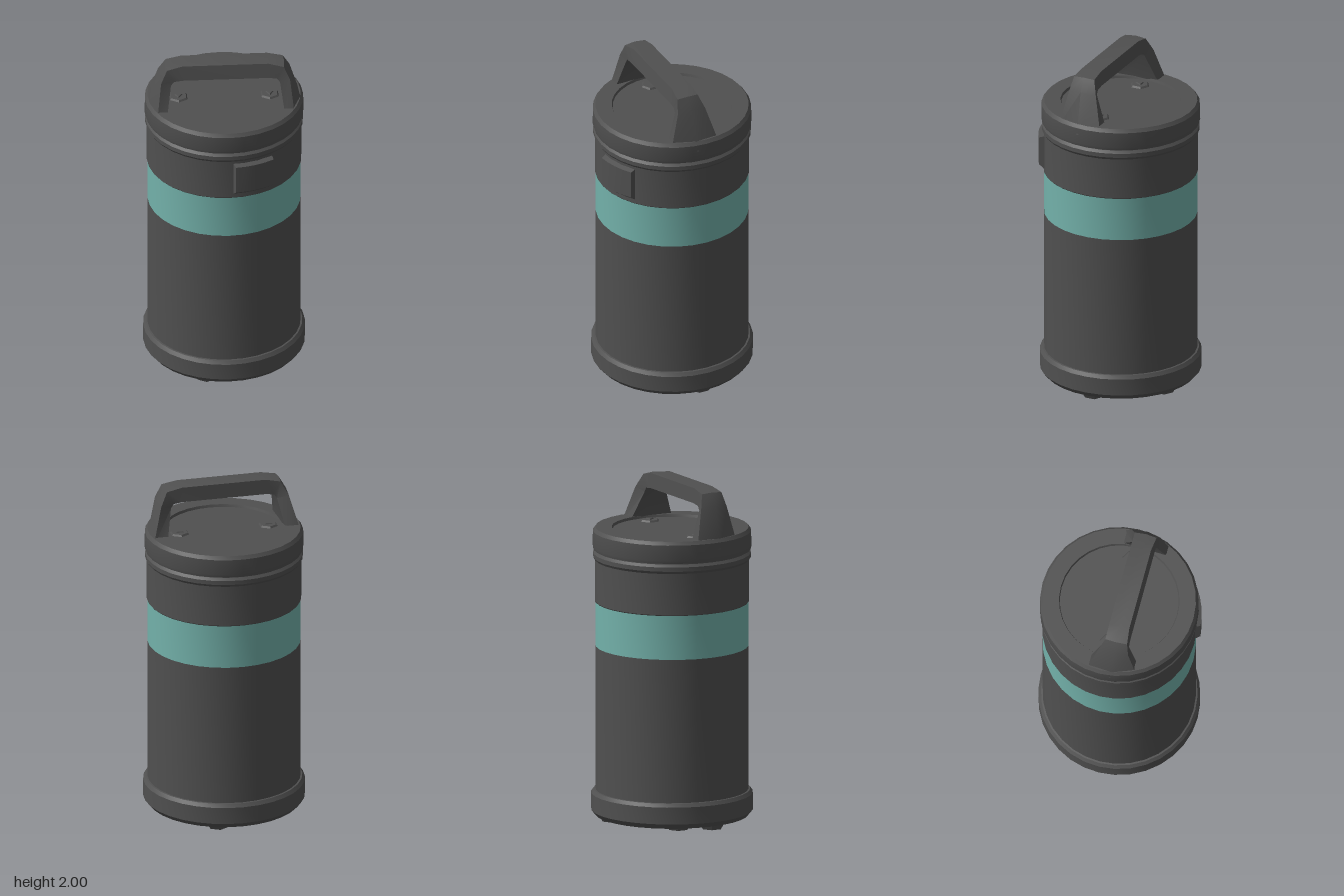
import * as THREE from 'three';
import { toCreasedNormals } from 'three/addons/utils/BufferGeometryUtils.js';

const charcoal = new THREE.MeshStandardMaterial({ name: 'charcoal', color: 0x505050 });
const teal = new THREE.MeshStandardMaterial({ name: 'teal', color: 0x73b1aa });

function part(parent, name, geometry, material = charcoal, crease = 0.5) {
  const mesh = new THREE.Mesh(toCreasedNormals(geometry, crease), material);
  mesh.name = name;
  parent.add(mesh);
  return mesh;
}

// Round part from [radius, height] pairs, bottom to top
function turned(profile) {
  return new THREE.LatheGeometry(profile.map(([r, y]) => new THREE.Vector2(r, y)), 32);
}

// Carry handle: five-sided rings swept from the left leg over to the right leg
function handleGeometry() {
  // each ring: outer front, outer middle, outer back, inner back, inner front
  const half = [
    [[0.40, 1.68, 0.205], [0.457, 1.67, 0.06], [0.443, 1.68, -0.085], [0.36, 1.68, -0.085], [0.345, 1.68, 0.205]],
    [[0.375, 1.90, 0.15], [0.388, 1.91, 0.07], [0.382, 1.90, -0.025], [0.317, 1.88, 0], [0.317, 1.88, 0.14]],
    [[0.34, 1.98, 0.135], [0.345, 1.985, 0.07], [0.34, 1.98, 0.005], [0.30, 1.905, 0], [0.30, 1.905, 0.14]],
    [[0.25, 2.0, 0.125], [0.25, 2.0, 0.07], [0.25, 2.0, 0.005], [0.25, 1.912, 0], [0.25, 1.912, 0.14]],
  ];
  const mirrored = half.map((ring) => ring.map(([x, y, z]) => [-x, y, z])).reverse();
  const rings = [...half, ...mirrored];
  const index = [];
  for (let i = 0; i < rings.length - 1; i++) {
    for (let j = 0; j < 5; j++) {
      const a = i * 5 + j, b = i * 5 + ((j + 1) % 5);
      index.push(a, b, b + 5, a, b + 5, a + 5);
    }
  }
  const g = new THREE.BufferGeometry();
  g.setAttribute('position', new THREE.Float32BufferAttribute(rings.flat(2), 3));
  g.setIndex(index);
  return g;
}

// Latch: a box with a tapered face, bent around the body
function latchGeometry() {
  const g = new THREE.BoxGeometry(1, 1, 1, 4, 1, 1);
  const p = g.attributes.position;
  for (let i = 0; i < p.count; i++) {
    const outer = p.getZ(i) > 0;
    const angle = 0.335 + p.getX(i) * (outer ? 0.5 : 0.58);
    const radius = outer ? 0.478 : 0.43;
    const top = p.getY(i) > 0;
    const y = top ? (outer ? 1.515 : 1.53) : (outer ? 1.345 : 1.305);
    p.setXYZ(i, Math.sin(angle) * radius, y, Math.cos(angle) * radius);
  }
  return g;
}

export function createModel() {
  const model = new THREE.Group();
  model.name = 'canister';

  // Base ring and body
  part(model, 'base', turned([[0, 0.03], [0.445, 0.03], [0.47, 0.06], [0.47, 0.16], [0.455, 0.18], [0.44, 0.182]]));
  part(model, 'lowerBody', turned([[0.445, 0.17], [0.445, 1.03]]));
  part(model, 'colourBand', turned([[0.445, 1.03], [0.445, 1.29]]), teal);
  part(model, 'neck', turned([
    [0.445, 1.29], [0.449, 1.295], [0.449, 1.54], [0.459, 1.555], [0.459, 1.58], [0.445, 1.595], [0.445, 1.61],
  ]));

  // Lid with a shallow recess
  part(model, 'lid', turned([
    [0.44, 1.602], [0.457, 1.602], [0.462, 1.62], [0.46, 1.71], [0.445, 1.73], [0.35, 1.73], [0.345, 1.715], [0, 1.715],
  ]));
  part(model, 'handle', handleGeometry());
  part(model, 'latch', latchGeometry());

  // Hexagonal bolts in the lid recess
  for (const side of [-1, 1]) {
    const bolt = new THREE.Group();
    bolt.name = side > 0 ? 'leftBolt' : 'rightBolt';
    bolt.position.set(side * 0.265, 1.719, 0.005);
    part(bolt, 'boltHead', new THREE.CylinderGeometry(0.05, 0.06, 0.012, 6));
    part(bolt, 'boltTip', new THREE.CylinderGeometry(0.02, 0.03, 0.008, 3)).position.y = 0.008;
    model.add(bolt);
  }

  // Feet under the base
  const feet = [[0.36, 0], [0.12, -0.335], [-0.125, 0.335], [-0.36, 0.06], [-0.28, -0.12]];
  for (const [x, z] of feet) {
    part(model, 'foot', new THREE.CylinderGeometry(0.08, 0.06, 0.035, 6)).position.set(x, 0.0175, z);
  }
  return model;
}
